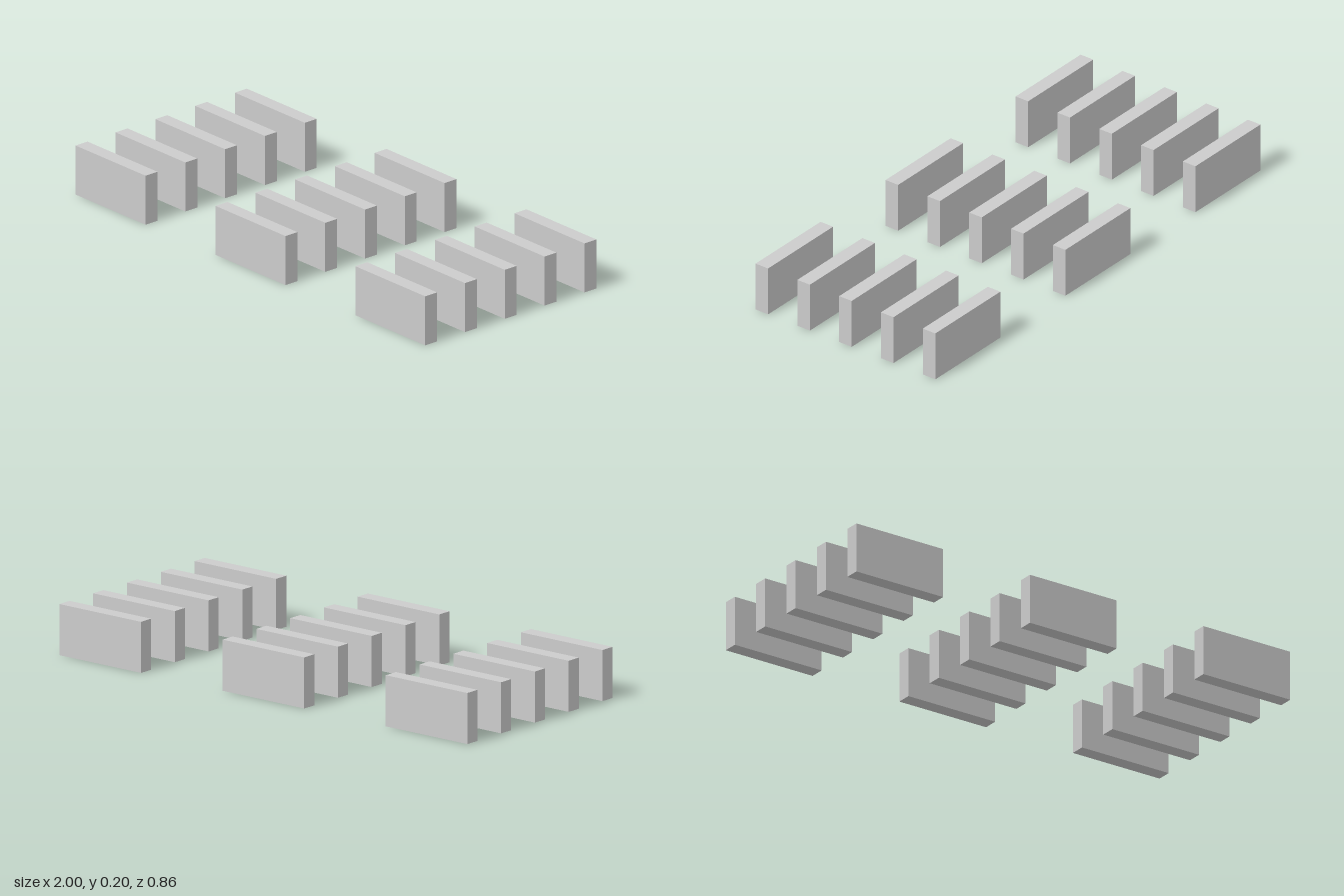
import * as THREE from 'three';

const COLUMNS = 3, ROWS = 5;
const COLUMN_SPACING = 0.8, ROW_SPACING = 0.2;
const WIDTH = 0.4, HEIGHT = 0.2, DEPTH = 0.06;

export function createModel() {
  const model = new THREE.Group();
  model.name = 'slabArray';

  const material = new THREE.MeshStandardMaterial({ color: 0xcccccc });
  const slabGeometry = new THREE.BoxGeometry(WIDTH, HEIGHT, DEPTH);

  // Columns of upright slabs, each running from back to front
  for (let c = 0; c < COLUMNS; c++) {
    const column = new THREE.Group();
    column.name = `slabColumn${c + 1}`;
    column.position.x = (c - (COLUMNS - 1) / 2) * COLUMN_SPACING;

    for (let r = 0; r < ROWS; r++) {
      const slab = new THREE.Mesh(slabGeometry, material);
      slab.name = `slab${r + 1}`;
      slab.position.set(0, HEIGHT / 2, (r - (ROWS - 1) / 2) * ROW_SPACING);
      column.add(slab);
    }
    model.add(column);
  }
  return model;
}
